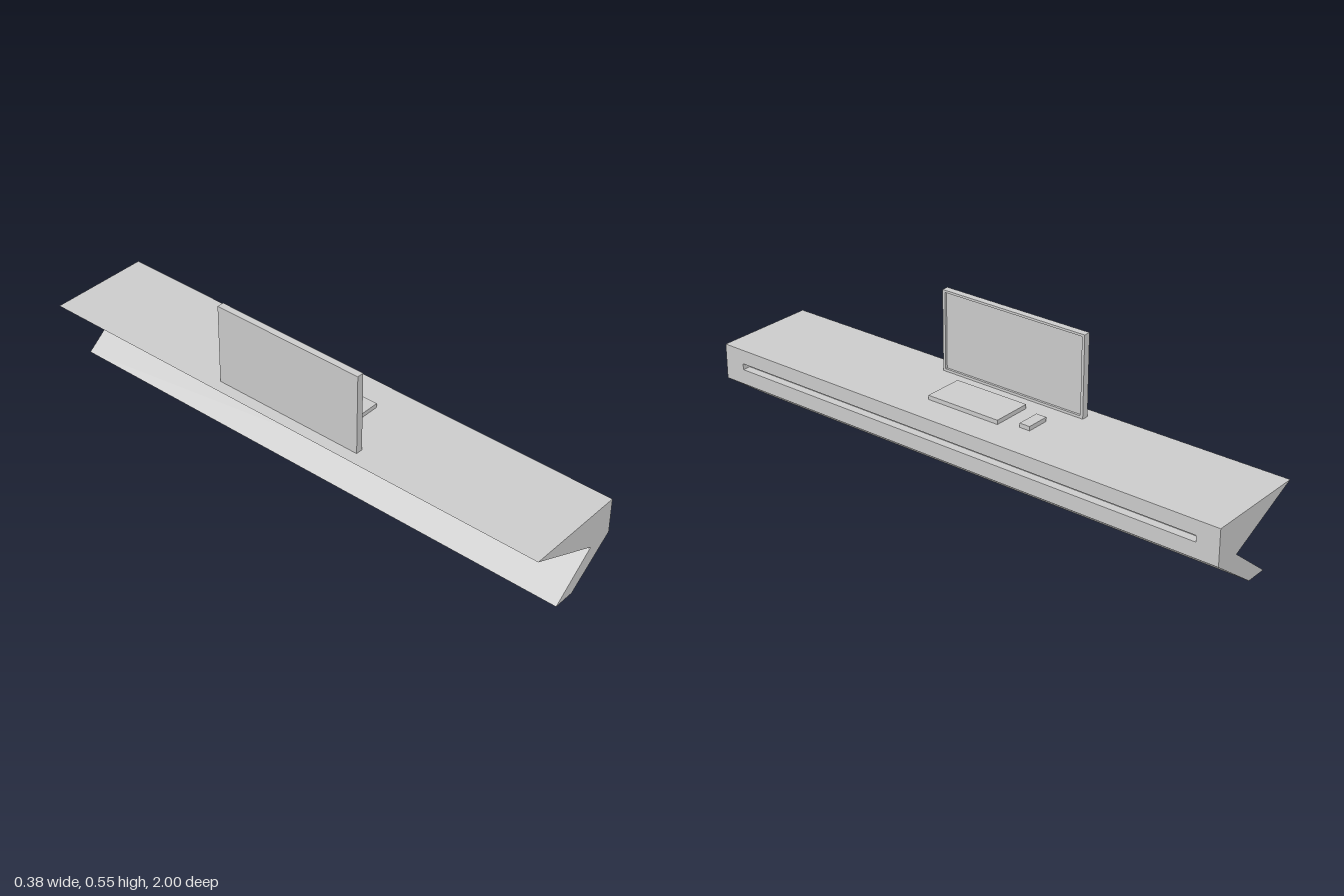
import * as THREE from 'three';
import { mergeGeometries } from 'three/addons/utils/BufferGeometryUtils.js';

const material = new THREE.MeshStandardMaterial({ color: 0xcccccc, flatShading: true });

const toShape = (points) => new THREE.Shape(points.map(([x, y]) => new THREE.Vector2(x, y)));

// Strip of quads: every edge of an xy path swept from z = -half to z = +half
function sweep(path, half) {
  const pos = [];
  for (let i = 0; i < path.length - 1; i++) {
    const a = path[i], b = path[i + 1];
    const corners = [[...a, half], [...a, -half], [...b, -half], [...b, half]];
    for (const k of [0, 1, 2, 0, 2, 3]) pos.push(...corners[k]);
  }
  const g = new THREE.BufferGeometry();
  g.setAttribute('position', new THREE.Float32BufferAttribute(pos, 3));
  return g;
}

// Flat face at a given z, turned toward +z or -z
function cap(points, z, facing) {
  const g = new THREE.ShapeGeometry(toShape(points));
  if (facing < 0) g.index.array.reverse();
  return g.translate(0, 0, z);
}

// Prism along z whose first profile edge (an upright +x face) carries a rectangular recess.
// The profile runs counter-clockwise.
function recessedPrism(profile, half, slot) {
  const [x, yLow] = profile[0];
  const yHigh = profile[1][1];
  const { y0, y1, halfZ, depth } = slot;

  // +x face with its opening
  const face = toShape([[-half, yLow], [half, yLow], [half, yHigh], [-half, yHigh]]);
  face.holes.push(toShape([[-halfZ, y0], [-halfZ, y1], [halfZ, y1], [halfZ, y0]]));
  const front = new THREE.ShapeGeometry(face).rotateY(Math.PI / 2).translate(x, 0, 0);

  const pocket = [[x, y0], [x - depth, y0], [x - depth, y1], [x, y1]];
  const parts = [
    front,
    sweep([...profile.slice(1), profile[0]], half),
    cap(profile, half, 1),
    cap(profile, -half, -1),
    sweep(pocket, halfZ),
    cap(pocket, halfZ, -1),
    cap(pocket, -halfZ, 1),
  ].map((g) => {
    const flat = g.index ? g.toNonIndexed() : g;
    flat.deleteAttribute('uv');
    flat.computeVertexNormals();
    return flat;
  });
  return mergeGeometries(parts);
}

export function createModel() {
  const model = new THREE.Group();
  const add = (name, geometry) => {
    const mesh = new THREE.Mesh(geometry, material);
    mesh.name = name;
    model.add(mesh);
    return mesh;
  };
  const deskTop = 0.255;

  // Long counter with a folded, Z-like section and a slot along its face
  add('deskBody', recessedPrism(
    [[0.188, 0.128], [0.188, deskTop], [-0.188, deskTop], [0.093, 0.128], [-0.068, 0], [0.012, 0]],
    1, { y0: 0.182, y1: 0.204, halfZ: 0.92, depth: 0.03 }));

  // Upright monitor with a narrow frame around a sunken display
  add('monitor', recessedPrism(
    [[-0.12, deskTop], [-0.12, 0.545], [-0.145, 0.545], [-0.145, deskTop]],
    0.287, { y0: 0.264, y1: 0.537, halfZ: 0.277, depth: 0.008 }));

  // Flat slabs on the desk: x range, z range
  const slab = (name, x0, x1, z0, z1) =>
    add(name, new THREE.BoxGeometry(x1 - x0, 0.015, z1 - z0))
      .position.set((x0 + x1) / 2, deskTop + 0.0075, (z0 + z1) / 2);
  slab('keyboard', -0.068, 0.078, -0.102, 0.182);
  slab('mouse', -0.036, 0.049, -0.207, -0.168);

  return model;
}
